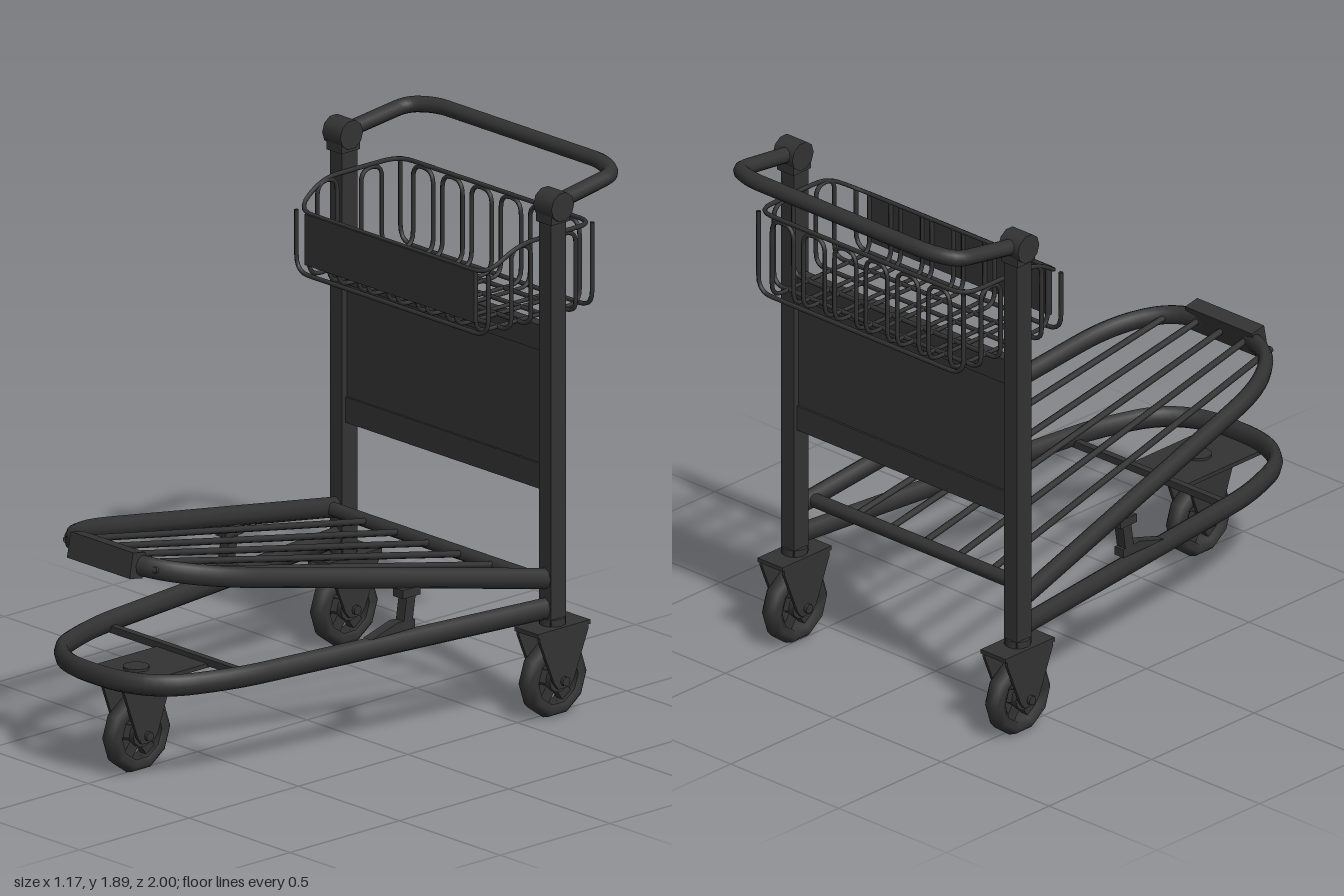
import * as THREE from 'three';

const dark = new THREE.MeshStandardMaterial({ color: 0x333333, side: THREE.DoubleSide });
const V = (x, y, z) => new THREE.Vector3(x, y, z);

// Curve that visits exactly the given points, so straight runs stay cheap
class Polyline extends THREE.Curve {
  constructor(points) { super(); this.points = points; }
  getPoint(t) {
    const f = t * (this.points.length - 1);
    const i = Math.min(Math.floor(f), this.points.length - 2);
    return this.points[i].clone().lerp(this.points[i + 1], f - i);
  }
  getPointAt(u) { return this.getPoint(u); }
  getTangentAt(u) { return this.getTangent(u); }
}

// Replaces each inner corner with a small arc
function rounded(points, r) {
  const out = [points[0]];
  for (let i = 1; i < points.length - 1; i++) {
    const [a, b, c] = [points[i - 1], points[i], points[i + 1]];
    const cut = (p) => b.clone().lerp(p, Math.min(r / b.distanceTo(p), 0.48));
    out.push(...new THREE.QuadraticBezierCurve3(cut(a), b, cut(c)).getPoints(5));
  }
  out.push(points[points.length - 1]);
  return out;
}

function add(parent, name, geometry, x = 0, y = 0, z = 0) {
  const mesh = new THREE.Mesh(geometry, dark);
  mesh.name = name;
  mesh.position.set(x, y, z);
  parent.add(mesh);
  return mesh;
}
const box = (parent, name, w, h, d, x, y, z) => add(parent, name, new THREE.BoxGeometry(w, h, d), x, y, z);
function tube(parent, name, points, radius, corner = 0.05, sides = 8) {
  const p = rounded(points, corner);
  return add(parent, name, new THREE.TubeGeometry(new Polyline(p), p.length - 1, radius, sides, false));
}
// Half path from the left side, mirrored to the right
const mirrored = (half) => [...half, ...half.slice().reverse().map((p) => V(-p.x, p.y, p.z))];

// Swivel caster: ten-sided wheel, hub, spokes and a tapered fork
function caster(name, x, z, top) {
  const g = new THREE.Group();
  g.name = name;
  g.position.set(x, 0.14, z);
  const tyre = [[0.09, -0.03], [0.115, -0.04], [0.132, -0.025], [0.14, 0], [0.132, 0.025], [0.115, 0.04], [0.09, 0.03], [0.09, -0.03]];
  add(g, 'tyre', new THREE.LatheGeometry(tyre.map((p) => new THREE.Vector2(...p)), 10)).rotation.z = Math.PI / 2;
  add(g, 'hub', new THREE.CylinderGeometry(0.045, 0.045, 0.07, 12)).rotation.z = Math.PI / 2;
  add(g, 'axle', new THREE.CylinderGeometry(0.017, 0.017, 0.14, 8)).rotation.z = Math.PI / 2;
  for (let i = 0; i < 5; i++) {
    const a = (i / 5) * Math.PI * 2;
    box(g, 'spoke', 0.03, 0.06, 0.045, 0, Math.cos(a) * 0.07, Math.sin(a) * 0.07).rotation.x = a;
  }
  const h = top - 0.14;
  const plate = new THREE.Shape([[-0.11, h], [-0.11, h - 0.03], [-0.045, 0], [-0.025, -0.025], [0.025, -0.025], [0.045, 0], [0.11, h - 0.03], [0.11, h]].map((p) => new THREE.Vector2(...p)));
  for (const s of [-1, 1]) {
    const leg = add(g, 'forkLeg', new THREE.ExtrudeGeometry(plate, { depth: 0.012, bevelEnabled: false }), s * 0.052 - 0.006);
    leg.rotation.y = Math.PI / 2;
  }
  box(g, 'forkTop', 0.116, 0.015, 0.24, 0, h - 0.007, 0);
  add(g, 'swivel', new THREE.CylinderGeometry(0.045, 0.045, 0.03, 12), 0, h + 0.01, 0);
  return g;
}

// Lower U-shaped frame with the front caster plate
function lowerFrame() {
  const g = new THREE.Group();
  g.name = 'lowerFrame';
  const rail = tube(g, 'lowerRail', mirrored([V(0.52, 0, -0.63), V(0.365, 0, 0.64), V(0.28, 0, 0.88), V(0.13, 0, 0.972)]), 0.026, 0.1);
  rail.scale.y = 1.5;
  rail.position.y = 0.39;
  box(g, 'crossbar', 0.74, 0.025, 0.025, 0, 0.37, 0.56);
  box(g, 'casterPlate', 0.25, 0.015, 0.4, 0, 0.358, 0.76);
  for (const s of [-1, 1]) {
    // Stops that carry the deck
    const foot = new THREE.Shape([[-0.13, 0], [0.07, 0], [0.07, 0.03], [-0.01, 0.035]].map((p) => new THREE.Vector2(...p)));
    add(g, 'stopFoot', new THREE.ExtrudeGeometry(foot, { depth: 0.04, bevelEnabled: false }), s * 0.44 - 0.02, 0.43, 0).rotation.y = Math.PI / 2;
    const post = box(g, 'stopPost', 0.04, 0.13, 0.04, s * 0.44, 0.5, -0.045);
    post.rotation.x = -0.15;
    box(g, 'stopHead', 0.05, 0.03, 0.08, s * 0.44, 0.56, -0.05);
  }
  return g;
}

// Sloping luggage deck, modelled flat and tilted about its rear end
function deck() {
  const g = new THREE.Group();
  g.name = 'deck';
  g.position.set(0, 0.495, -0.62);
  g.rotation.x = -0.194;
  const rail = tube(g, 'deckRail', mirrored([V(0.52, 0, 0), V(0.35, 0, 1.34), V(0.25, 0, 1.51), V(0.11, 0, 1.565)]), 0.026, 0.13);
  rail.scale.y = 1.4;
  box(g, 'frontSleeve', 0.31, 0.09, 0.06, 0, 0, 1.565);
  add(g, 'rearBar', new THREE.CylinderGeometry(0.025, 0.025, 1.02, 8), 0, 0, 0.05).rotation.z = Math.PI / 2;
  for (let i = -2; i <= 2; i++) {
    tube(g, 'deckBar', [V(i * 0.157, 0, 0.05), V(i * 0.11, 0, 1.55)], 0.012, 0, 6);
  }
  return g;
}

// Posts, back panel and push handle
function backFrame() {
  const g = new THREE.Group();
  g.name = 'backFrame';
  for (const s of [-1, 1]) {
    box(g, 'post', 0.06, 1.49, 0.07, s * 0.517, 1.075, -0.645);
    const cap = add(g, 'handleJoint', new THREE.CylinderGeometry(0.052, 0.052, 0.09, 10), s * 0.523, 1.815, -0.645);
    cap.rotation.z = Math.PI / 2;
    box(g, 'jointSocket', 0.075, 0.06, 0.085, s * 0.52, 1.785, -0.645);
  }
  box(g, 'panel', 0.98, 0.42, 0.025, 0, 1.09, -0.645);
  box(g, 'panelTopRail', 0.98, 0.09, 0.04, 0, 1.335, -0.645);
  box(g, 'panelBottomRail', 0.98, 0.09, 0.04, 0, 0.845, -0.645);
  tube(g, 'handle', mirrored([V(0.522, 1.815, -0.645), V(0.51, 1.855, -0.93), V(0.41, 1.865, -0.972)]), 0.028, 0.05, 10);
  return g;
}

// Wire basket with arched bars and a front plate
function basket() {
  const g = new THREE.Group();
  g.name = 'basket';
  const [front, back, low, high, wire] = [-0.39, -0.865, 1.39, 1.69, 0.008];
  const wires = (name, pts, corner = 0.05) => tube(g, name, pts, wire, corner, 6);
  // Top rim drops towards the front
  const half = [V(0, high, back), V(0.48, high, back), V(0.485, high, -0.52), V(0.47, 1.61, front), V(0, 1.61, front)];
  for (const s of [-1, 1]) {
    wires('rim', half.map((p) => V(s * p.x, p.y, p.z)), 0.07);
    // Sides of the front and back outlines
    for (const [z, top] of [[front, 1.61], [back, high]]) {
      wires('cornerWire', [V(s * 0.475, top, z), V(s * 0.475, low, z), V(0, low, z)], 0.06);
    }
  }
  // Back arches run down, under the floor and up the front
  for (let i = 0; i < 6; i++) {
    const x = (i - 2.5) * 0.145;
    const leg = (px) => [V(px, 1.61, front), V(px, low, front), V(px, low, back), V(px, 1.68, back)];
    wires('backArch', [...leg(x - 0.05), ...leg(x + 0.05).reverse()], 0.05);
  }
  // Side arches run across the floor
  for (const [a, b] of [[-0.49, -0.58], [-0.69, -0.785]]) {
    for (const s of [-1, 1]) {
      wires('sideArch', [V(0, low, a), V(s * 0.48, low, a), V(s * 0.48, 1.68, a), V(s * 0.48, 1.68, b), V(s * 0.48, low, b), V(0, low, b)], 0.045);
    }
  }
  box(g, 'frontPlate', 0.84, 0.18, 0.012, 0, 1.52, front + 0.008);
  return g;
}

export function createModel() {
  const model = new THREE.Group();
  model.name = 'luggageCart';
  model.add(lowerFrame(), deck(), backFrame(), basket());
  model.add(caster('frontCaster', 0, 0.78, 0.35));
  for (const s of [-1, 1]) model.add(caster('rearCaster', s * 0.517, -0.645, 0.33));
  return model;
}
